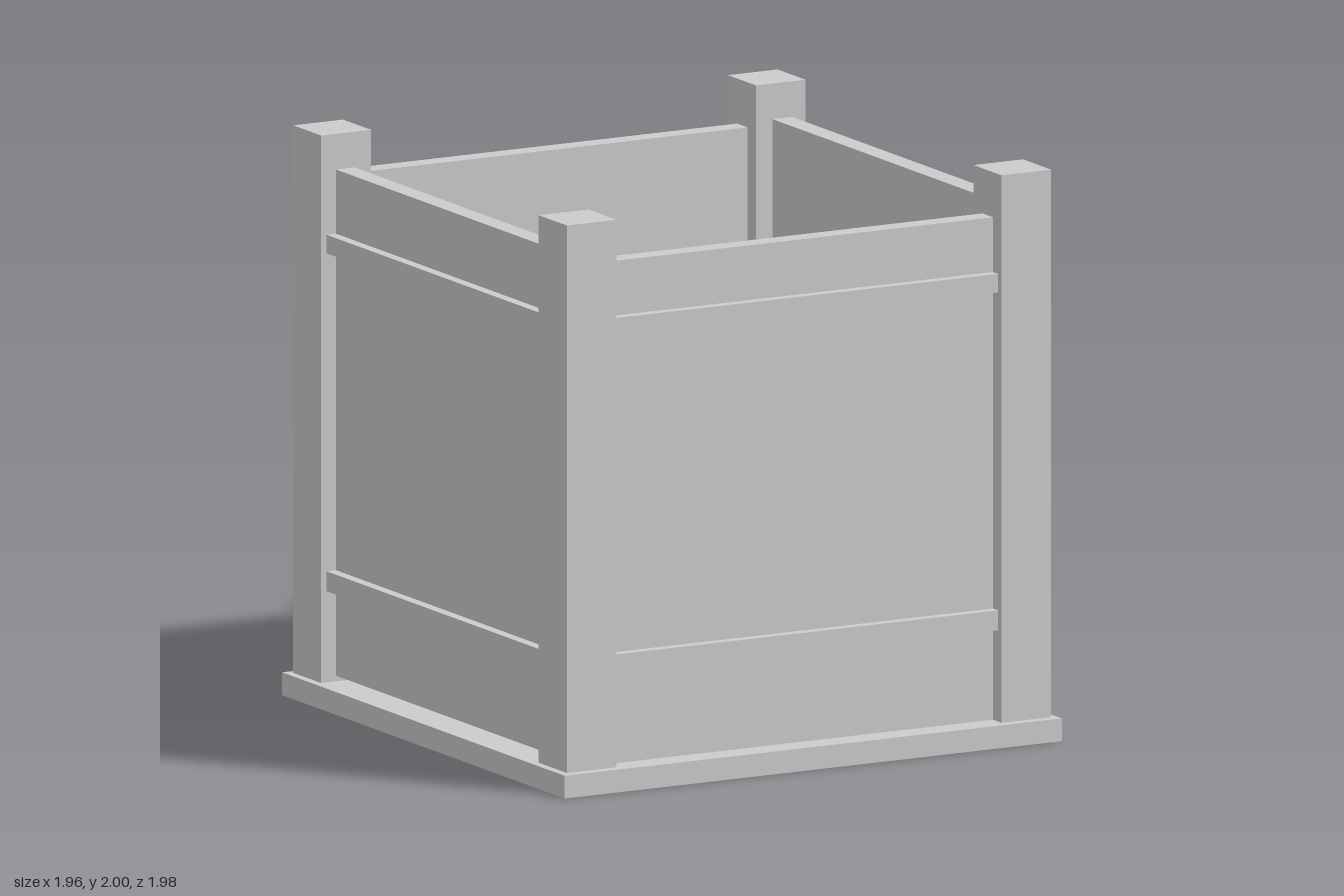
import * as THREE from 'three';

const material = new THREE.MeshStandardMaterial({ color: 0xcccccc, flatShading: true });

// Box given by its lower and upper limits on each axis
function block(name, [x0, x1], [y0, y1], [z0, z1]) {
  const mesh = new THREE.Mesh(new THREE.BoxGeometry(x1 - x0, y1 - y0, z1 - z0), material);
  mesh.name = name;
  mesh.position.set((x0 + x1) / 2, (y0 + y1) / 2, (z0 + z1) / 2);
  return mesh;
}

export function createModel() {
  const model = new THREE.Group();
  model.name = 'planterBox';

  // Base slab
  model.add(block('base', [-0.98, 0.977], [0, 0.08], [-0.99, 0.99]));

  // Corner posts
  const frontZ = [0.757, 0.954], backZ = [-0.964, -0.768];
  const leftX = [0.76, 0.955], rightX = [-0.951, -0.755];
  model.add(block('frontLeftPost', leftX, [0.08, 2], frontZ));
  model.add(block('frontRightPost', rightX, [0.08, 2], frontZ));
  model.add(block('backLeftPost', leftX, [0.08, 2], backZ));
  model.add(block('backRightPost', rightX, [0.08, 2], backZ));

  // Wall panels between the posts, each with two outer rails
  const railHeights = { lowerRail: [0.4, 0.47], upperRail: [1.585, 1.65] };
  const spanX = [-0.755, 0.76], spanZ = [-0.768, 0.757];
  const walls = [
    { name: 'front', along: 'x', y: [0.08, 1.842], panel: [0.82, 0.893], rail: [0.893, 0.93] },
    { name: 'back', along: 'x', y: [0.08, 1.842], panel: [-0.9, -0.827], rail: [-0.937, -0.9] },
    { name: 'left', along: 'z', y: [0.1, 1.875], panel: [0.825, 0.902], rail: [0.902, 0.935] },
    { name: 'right', along: 'z', y: [0.1, 1.875], panel: [-0.893, -0.82], rail: [-0.93, -0.893] },
  ];
  for (const { name, along, y, panel, rail } of walls) {
    const wall = new THREE.Group();
    wall.name = name + 'Wall';
    const add = (part, height, depth) => wall.add(along === 'x'
      ? block(name + part, spanX, height, depth)
      : block(name + part, depth, height, spanZ));
    add('Panel', y, panel);
    add('LowerRail', railHeights.lowerRail, rail);
    add('UpperRail', railHeights.upperRail, rail);
    model.add(wall);
  }
  return model;
}
